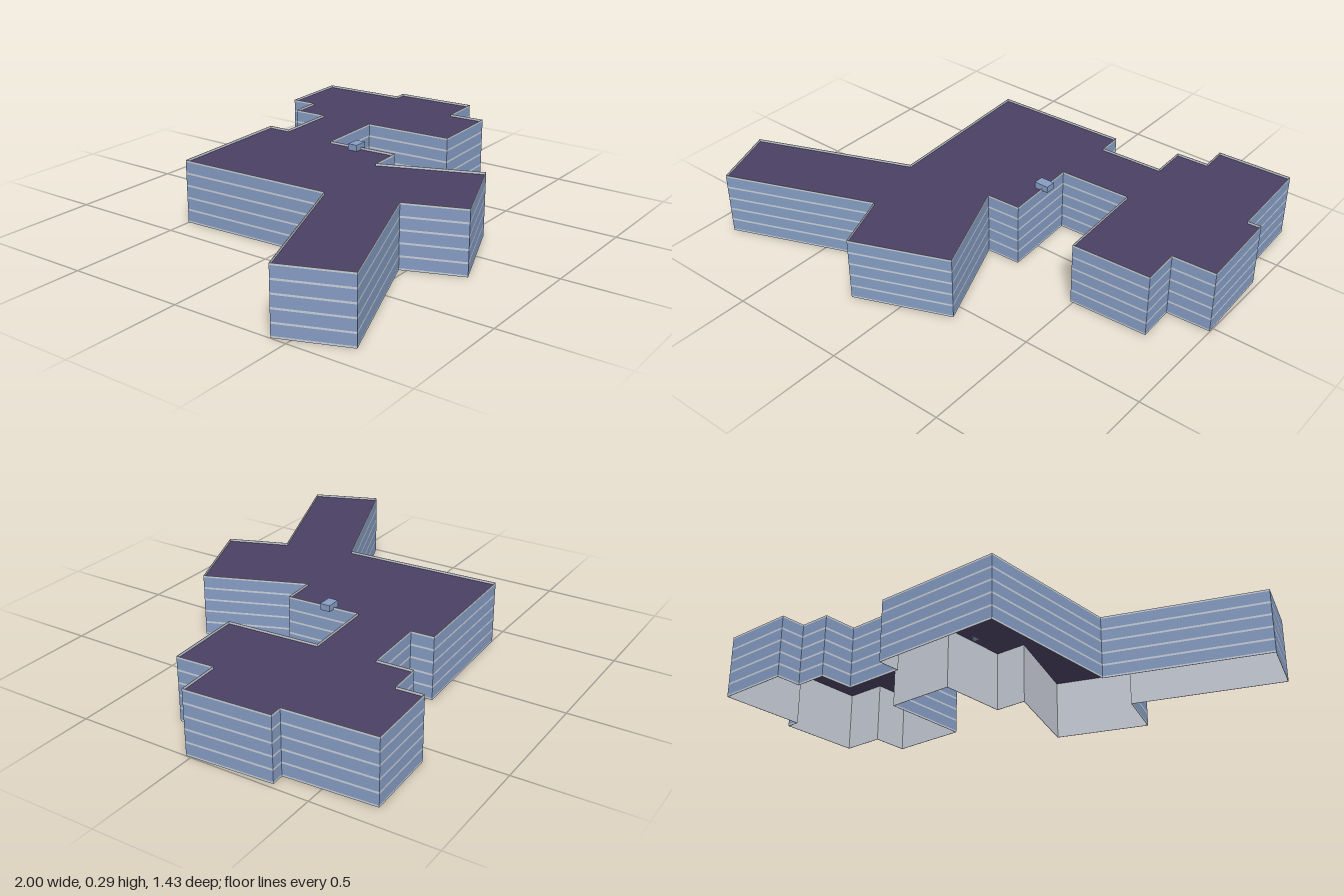
import * as THREE from 'three';

export function createModel() {
  const model = new THREE.Group();
  const HEIGHT = 0.272, ROOF = 0.262, WALL = 0.002, BAND = 0.008, FLOORS = 5;
  const STOREY = (HEIGHT - BAND) / FLOORS;

  const material = (name, color, side = THREE.FrontSide) => {
    const m = new THREE.MeshStandardMaterial({ color, side });
    m.name = name;
    return m;
  };
  const facadeBlue = material('facadeBlue', 0x859cc3);
  const paleGrey = material('paleGrey', 0xc9ced8);
  const roofPurple = material('roofPurple', 0x4a4063, THREE.DoubleSide);

  // Footprint corners as [x, z], clockwise from above
  const plan = [
    [-0.39, -0.502], [0.184, -0.525], [0.188, -0.427], [0.457, -0.438],
    [0.452, -0.588], [0.59, -0.595], [0.585, -0.705], [0.905, -0.718],
    [0.924, -0.34], [0.979, -0.343], [0.998, 0.022], [0.814, 0.031],
    [0.822, 0.191], [0.488, 0.207], [0.467, -0.187], [0.163, -0.174],
    [0.178, 0.142], [0.033, 0.149], [0.198, 0.562], [-0.19, 0.717],
    [-0.285, 0.472], [-0.89, 0.71], [-0.998, 0.433], [-0.36, 0.179],
  ];

  // Inner face of the walls: every corner moved inwards by the wall thickness
  const inward = ([ax, az], [bx, bz]) => new THREE.Vector2(az - bz, bx - ax).normalize();
  const inner = plan.map((p, i) => {
    const n = inward(plan.at(i - 1), p);
    const m = inward(p, plan[(i + 1) % plan.length]);
    const t = WALL / (1 + n.dot(m));
    return [p[0] + t * (n.x + m.x), p[1] + t * (n.y + m.y)];
  });

  // Strips of quads, each between a lower and an upper [ring, y]
  function stripGeometry(strips) {
    const positions = [];
    for (const [[low, y0], [high, y1]] of strips) {
      low.forEach((a, i) => {
        const j = (i + 1) % low.length;
        const b = low[j], c = high[i], d = high[j];
        positions.push(b[0], y0, b[1], a[0], y0, a[1], c[0], y1, c[1]);
        positions.push(b[0], y0, b[1], c[0], y1, c[1], d[0], y1, d[1]);
      });
    }
    const geometry = new THREE.BufferGeometry();
    geometry.setAttribute('position', new THREE.Float32BufferAttribute(positions, 3));
    geometry.computeVertexNormals();
    return geometry;
  }

  function add(name, geometry, mat) {
    const mesh = new THREE.Mesh(geometry, mat);
    mesh.name = name;
    model.add(mesh);
    return mesh;
  }

  // Storeys alternate with thin pale slab edges
  const slabs = [], storeys = [];
  for (let i = 0; i <= FLOORS; i++) {
    const y = i * STOREY;
    slabs.push([[plan, y], [plan, y + BAND]]);
    if (i < FLOORS) storeys.push([[plan, y + BAND], [plan, y + STOREY]]);
  }
  add('facadeWalls', stripGeometry(storeys), facadeBlue);
  add('floorSlabEdges', stripGeometry(slabs), paleGrey);

  // Parapet top, inside of the open-bottomed shell, and bottom rim
  add('innerWalls', stripGeometry([
    [[plan, HEIGHT], [inner, HEIGHT]],
    [[inner, HEIGHT], [inner, 0]],
    [[inner, 0], [plan, 0]],
  ]), paleGrey);

  // Flat roof, set just below the parapet
  const outline = new THREE.Shape(inner.map(([x, z]) => new THREE.Vector2(x, -z)));
  const roof = new THREE.ShapeGeometry(outline).rotateX(-Math.PI / 2);
  add('flatRoof', roof, roofPurple).position.y = ROOF;

  // Small rooftop housing over the inner court edge
  const housing = add('rooftopHousing', new THREE.BoxGeometry(0.062, 0.027, 0.043), facadeBlue);
  housing.position.set(0.165, ROOF + 0.0135, -0.043);

  return model;
}
